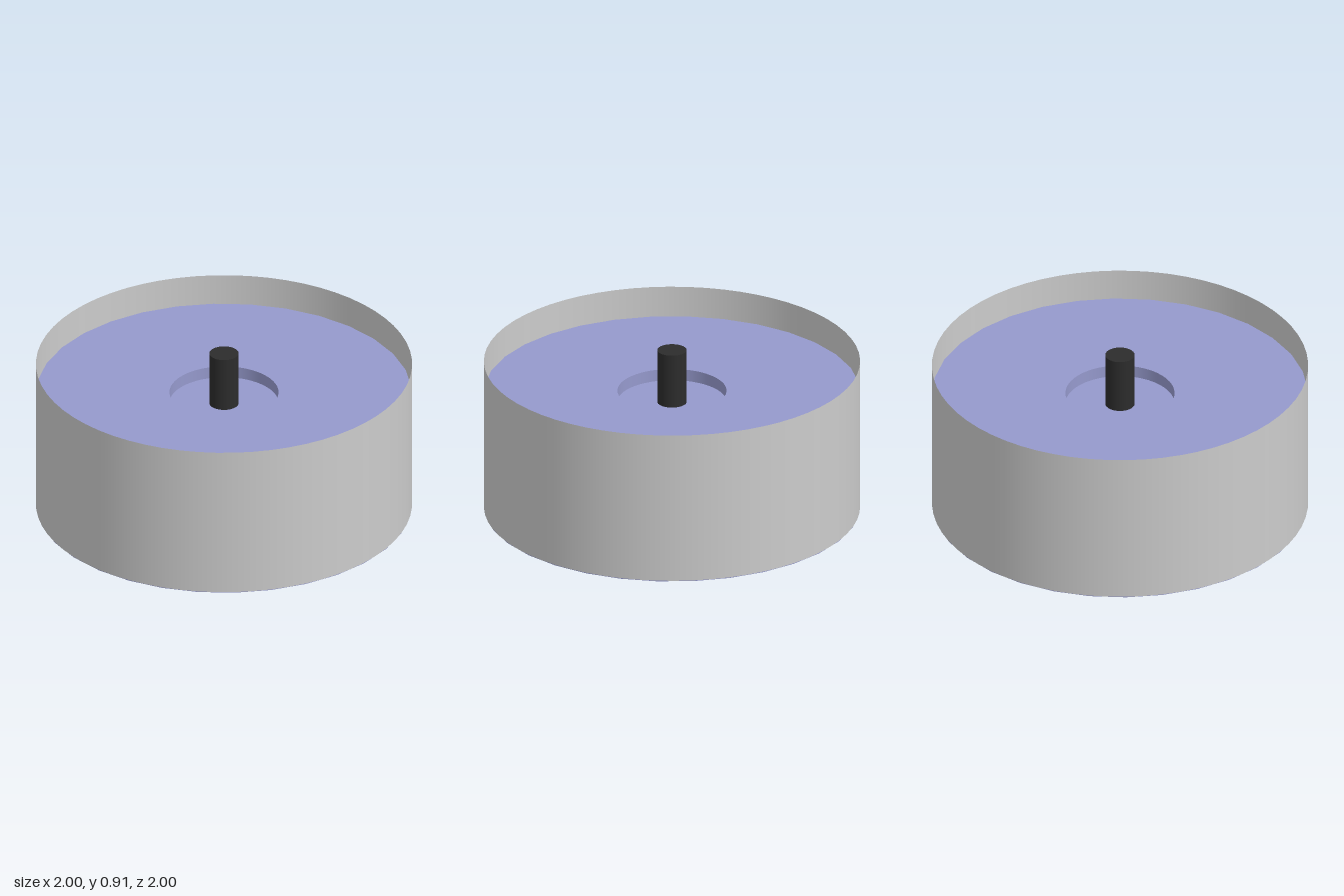
import * as THREE from 'three';

const SHELL_BOTTOM = 0.005, SHELL_TOP = 0.845;
const BODY_R = 0.998, BODY_TOP = 0.675, BODY_SIDES = 32;
const RECESS_R = 0.29, RECESS_FLOOR = 0.61;
const POST_R = 0.078, POST_TOP = 0.91;
const ROUND = 64;

// regular polygon outline
function circlePoints(radius, sides) {
  return Array.from({ length: sides }, (_, i) => {
    const a = (i / sides) * Math.PI * 2;
    return new THREE.Vector2(Math.cos(a) * radius, Math.sin(a) * radius);
  });
}

// upright cylinder between two heights
function cylinder(radius, y0, y1, sides, open) {
  return new THREE.CylinderGeometry(radius, radius, y1 - y0, sides, 1, open)
    .translate(0, (y0 + y1) / 2, 0);
}

// flat disc, facing up or down
function disc(radius, y, sides, up = true) {
  return new THREE.CircleGeometry(radius, sides)
    .rotateX(up ? -Math.PI / 2 : Math.PI / 2)
    .translate(0, y, 0);
}

export function createModel() {
  const model = new THREE.Group();
  const shellMat = new THREE.MeshStandardMaterial({ color: 0xcccccc, side: THREE.DoubleSide });
  const bodyMat = new THREE.MeshStandardMaterial({ color: 0x9599cc, side: THREE.DoubleSide });
  const postMat = new THREE.MeshStandardMaterial({ color: 0x2c2c2c });

  function add(parent, name, geometry, material) {
    const mesh = new THREE.Mesh(geometry, material);
    mesh.name = name;
    parent.add(mesh);
  }

  // thin open sleeve
  add(model, 'outerShell', cylinder(1, SHELL_BOTTOM, SHELL_TOP, ROUND, true), shellMat);

  // coloured core with a round recess in its top
  const core = new THREE.Group();
  core.name = 'core';
  model.add(core);
  const ring = new THREE.Shape(circlePoints(BODY_R, BODY_SIDES));
  ring.holes.push(new THREE.Path(circlePoints(RECESS_R, ROUND).reverse()));
  add(core, 'coreTop',
    new THREE.ShapeGeometry(ring).rotateX(-Math.PI / 2).translate(0, BODY_TOP, 0), bodyMat);
  add(core, 'coreSide', cylinder(BODY_R, 0, BODY_TOP, BODY_SIDES, true), bodyMat);
  add(core, 'coreBottom', disc(BODY_R, 0, BODY_SIDES, false), bodyMat);
  add(core, 'recessWall', cylinder(RECESS_R, RECESS_FLOOR, BODY_TOP, ROUND, true), bodyMat);
  add(core, 'recessFloor', disc(RECESS_R, RECESS_FLOOR, ROUND), bodyMat);

  // dark central post
  add(model, 'centrePost', cylinder(POST_R, RECESS_FLOOR, POST_TOP, 32, false), postMat);

  return model;
}
